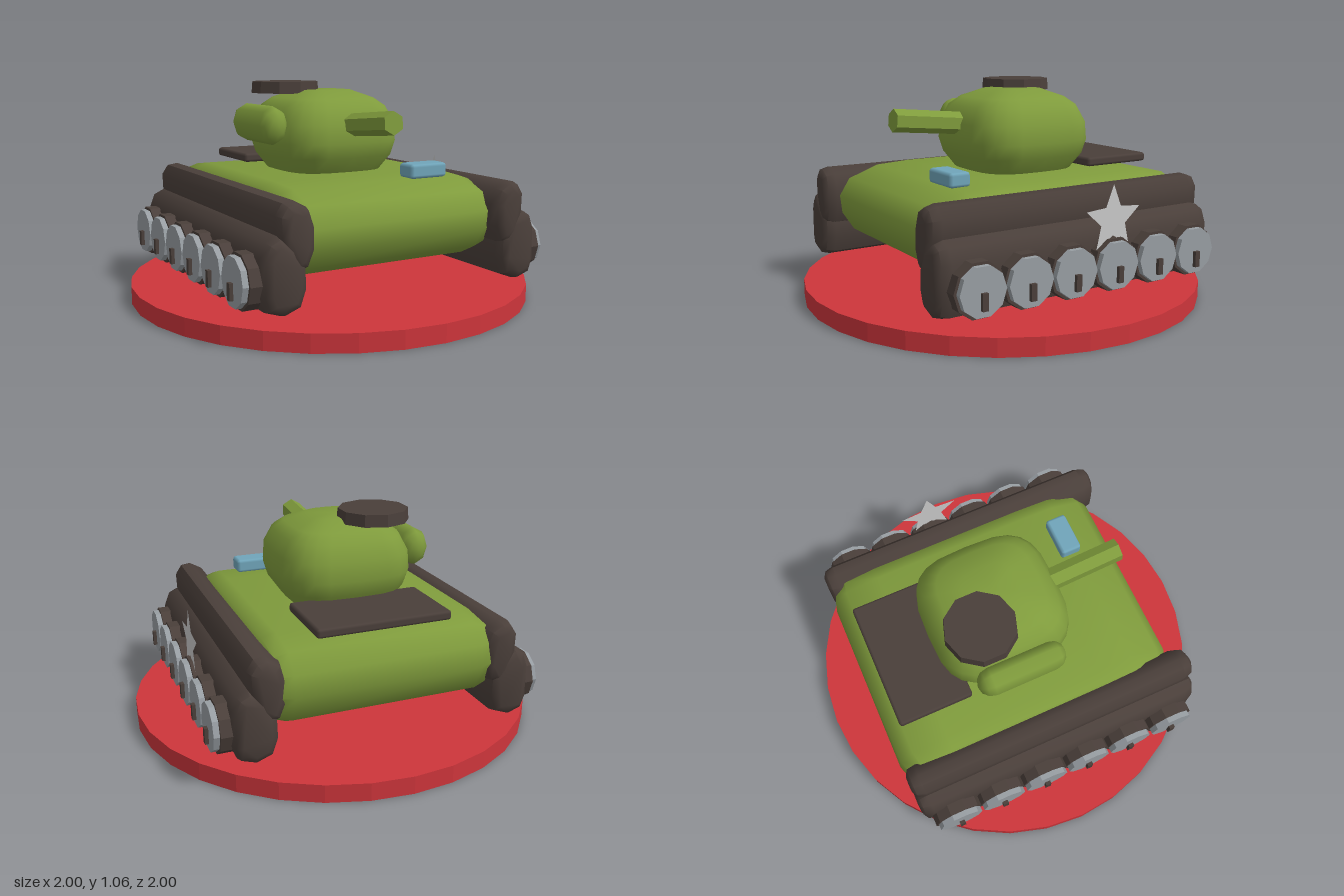
import * as THREE from 'three';
import { toCreasedNormals } from 'three/addons/utils/BufferGeometryUtils.js';
import { RoundedBoxGeometry } from 'three/addons/geometries/RoundedBoxGeometry.js';

const paint = (name, color, side = THREE.FrontSide) => {
  const m = new THREE.MeshStandardMaterial({ color, side });
  m.name = name;
  return m;
};

// Outline extruded along z and centred, with ends that round inwards
function roundedBar(points, length, bevel, shrink) {
  const shape = new THREE.Shape(points.map(([x, y]) => new THREE.Vector2(x, y)));
  const depth = length - 2 * bevel;
  const geo = new THREE.ExtrudeGeometry(shape, {
    depth, bevelEnabled: true, bevelThickness: bevel, bevelSize: shrink,
    bevelOffset: -shrink, bevelSegments: 2,
  });
  geo.translate(0, 0, -depth / 2);
  return geo;
}

// Stacked rounded-square rings, closed at top and bottom
function turretGeometry(rings, halfX, halfZ, segments) {
  const pos = [], index = [];
  const soft = (v) => Math.sign(v) * Math.pow(Math.abs(v), 0.6);
  for (const [y, s] of rings) {
    for (let i = 0; i < segments; i++) {
      const a = (i / segments) * Math.PI * 2;
      pos.push(soft(Math.sin(a)) * halfX * s, y, soft(Math.cos(a)) * halfZ * s);
    }
  }
  for (let r = 0; r < rings.length - 1; r++) {
    for (let i = 0; i < segments; i++) {
      const j = (i + 1) % segments;
      const a = r * segments + i, b = r * segments + j;
      index.push(a, b, b + segments, a, b + segments, a + segments);
    }
  }
  const geo = new THREE.BufferGeometry();
  geo.setAttribute('position', new THREE.Float32BufferAttribute(pos, 3));
  geo.setIndex(index);
  geo.computeVertexNormals();
  return geo;
}

export function createModel() {
  const root = new THREE.Group();
  root.name = 'toyTank';
  const green = paint('armourGreen', 0x7f9b3c);
  const dark = paint('trackBrown', 0x4a3f3a);
  const red = paint('baseRed', 0xcd353b);
  const grey = paint('wheelGrey', 0x989ea3);
  const blue = paint('lampBlue', 0x70a5ba);
  const silver = paint('starSilver', 0xc9c9c9, THREE.DoubleSide);

  const add = (name, geo, mat, x = 0, y = 0, z = 0, parent = root) => {
    const mesh = new THREE.Mesh(geo, mat);
    mesh.name = name;
    mesh.position.set(x, y, z);
    parent.add(mesh);
    return mesh;
  };

  // Round stand
  add('base', toCreasedNormals(new THREE.CylinderGeometry(1, 1, 0.085, 32), 0.1), red, 0, 0.0425, 0);

  // Hull, from its side profile (z, y)
  const hull = roundedBar([
    [0.52, 0.24], [0.62, 0.29], [0.68, 0.38], [0.69, 0.47], [0.63, 0.56], [0.48, 0.615],
    [0.3, 0.625], [-0.5, 0.625], [-0.68, 0.6], [-0.75, 0.52], [-0.765, 0.42], [-0.7, 0.29], [-0.6, 0.24],
  ], 1.08, 0.09, 0.07);
  hull.rotateY(-Math.PI / 2);
  add('hull', toCreasedNormals(hull, 0.8), green);

  // Turret and top hatch
  add('turret', turretGeometry([
    [0.58, 0], [0.58, 0.7], [0.63, 0.79], [0.7, 0.94], [0.77, 1], [0.86, 0.98],
    [0.94, 0.86], [0.98, 0.7], [1.02, 0.38], [1.02, 0],
  ], 0.327, 0.333, 24), green, 0, 0, -0.065);
  add('hatch', toCreasedNormals(new THREE.CylinderGeometry(0.168, 0.173, 0.058, 10), 0.4), dark, -0.15, 1.031, -0.185);

  // Gun barrel, tilted slightly upwards
  const barrel = add('barrel', toCreasedNormals(new THREE.CylinderGeometry(0.055, 0.055, 0.44, 6), 0.4),
    green, -0.005, 0.872, 0.377);
  barrel.rotation.x = Math.PI / 2 - 0.09;

  // Rounded pod on the turret's side
  const pod = new THREE.CapsuleGeometry(0.07, 0.3, 3, 8);
  pod.rotateX(Math.PI / 2);
  pod.scale(1, 1.33, 1);
  add('sidePod', pod, green, -0.35, 0.858, -0.07);

  // Rear deck plate and front lamp
  add('rearPlate', new RoundedBoxGeometry(0.645, 0.045, 0.375, 1, 0.014), dark, 0, 0.66, -0.497);
  add('frontLamp', new RoundedBoxGeometry(0.205, 0.07, 0.108, 1, 0.016), blue, 0.264, 0.65, 0.45);

  // Track sections in (x, y), mirrored for each side
  const upper = [[0.56, 0.608], [0.5, 0.575], [0.475, 0.5], [0.475, 0.4], [0.505, 0.325],
    [0.56, 0.308], [0.61, 0.36], [0.64, 0.46], [0.643, 0.55], [0.61, 0.6]];
  const lower = [[0.64, 0.47], [0.69, 0.445], [0.715, 0.38], [0.718, 0.22], [0.695, 0.155],
    [0.62, 0.13], [0.54, 0.16], [0.512, 0.24], [0.515, 0.34], [0.56, 0.43]];
  const rim = new THREE.CylinderGeometry(0.125, 0.125, 0.08, 10).rotateZ(Math.PI / 2);
  const disc = new THREE.CylinderGeometry(0.112, 0.112, 0.04, 10).rotateZ(Math.PI / 2);
  const rimGeo = toCreasedNormals(rim, 0.4), discGeo = toCreasedNormals(disc, 0.4);
  const hubGeo = new THREE.BoxGeometry(0.03, 0.075, 0.028);

  for (const side of [1, -1]) {
    const track = new THREE.Group();
    track.name = side > 0 ? 'leftTrack' : 'rightTrack';
    root.add(track);
    for (const [name, section] of [['upperTrack', upper], ['lowerTrack', lower]]) {
      const bar = roundedBar(section.map(([x, y]) => [x * side, y]), 1.51, 0.06, 0.04);
      add(name, toCreasedNormals(bar, 0.8), dark, 0, 0, 0, track);
    }
    // Six road wheels
    for (let i = 0; i < 6; i++) {
      const z = 0.595 - i * 0.237;
      add('wheelRim', rimGeo, dark, side * 0.725, 0.273, z, track);
      add('wheelDisc', discGeo, grey, side * 0.772, 0.273, z, track);
      add('wheelHub', hubGeo, dark, side * 0.794, 0.234, z, track);
    }
  }

  // Five-pointed star plate on the left side
  const star = new THREE.Shape();
  for (let i = 0; i < 10; i++) {
    const a = Math.PI / 2 + (i * Math.PI) / 5;
    const r = i % 2 ? 0.072 : 0.16;
    if (i) star.lineTo(Math.cos(a) * r, Math.sin(a) * r);
    else star.moveTo(Math.cos(a) * r, Math.sin(a) * r);
  }
  add('star', new THREE.ShapeGeometry(star).rotateY(Math.PI / 2), silver, 0.75, 0.476, -0.11);

  return root;
}
